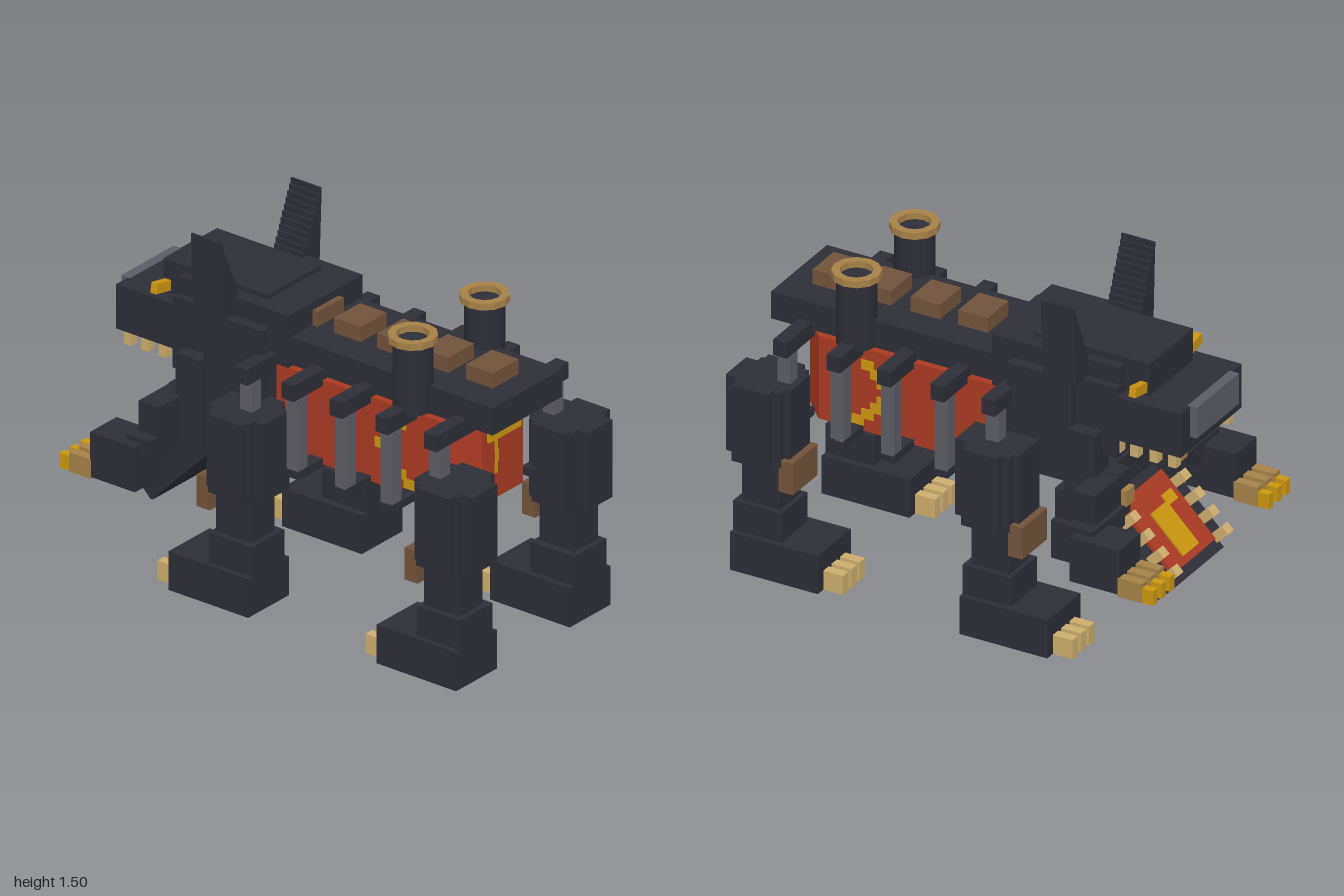
import * as THREE from 'three';

const mat = (name, color) => {
  const m = new THREE.MeshStandardMaterial({ color });
  m.name = name;
  return m;
};

export function createModel() {
  const root = new THREE.Group();
  root.name = 'mechanicalBeast';
  const dark = mat('charcoalArmour', 0x2d2e37);
  const grey = mat('greySteel', 0x5c5d64);
  const red = mat('moltenRed', 0xa83a22);
  const gold = mat('glowingGold', 0xca960f);
  const brown = mat('brownLeather', 0x70533b);
  const bone = mat('boneClaw', 0xcbad6d);
  const bronze = mat('bronze', 0xa58147);

  const add = (name, geo, m, parent = root) => {
    const mesh = new THREE.Mesh(geo, m);
    mesh.name = name;
    parent.add(mesh);
    return mesh;
  };
  // box given by its limits on each axis
  const box = (name, m, [x0, x1], [y0, y1], [z0, z1], parent = root) => {
    const mesh = add(name, new THREE.BoxGeometry(x1 - x0, y1 - y0, z1 - z0), m, parent);
    mesh.position.set((x0 + x1) / 2, (y0 + y1) / 2, (z0 + z1) / 2);
    return mesh;
  };
  // the same box on both sides
  const pair = (name, m, [x0, x1], y, z, parent = root) => {
    box(name + 'Left', m, [x0, x1], y, z, parent);
    box(name + 'Right', m, [-x1, -x0], y, z, parent);
  };

  // molten body with chamfered rear corners
  const plan = new THREE.Shape([
    [-0.235, 0.15], [0.235, 0.15], [0.235, -0.7], [0.13, -0.8], [-0.13, -0.8], [-0.235, -0.7],
  ].map(([x, y]) => new THREE.Vector2(x, y)));
  const bodyGeo = new THREE.ExtrudeGeometry(plan, { depth: 0.37, bevelEnabled: false });
  bodyGeo.rotateX(-Math.PI / 2);
  add('body', bodyGeo, red).position.y = 0.63;

  // rear plate and crack
  box('rearPlate', gold, [-0.1, 0.1], [0.895, 1], [0.8, 0.815]);
  const crack = [[-0.04, 0.9], [-0.045, 0.84], [-0.03, 0.79], [-0.055, 0.74], [-0.075, 0.69], [-0.09, 0.63]];
  for (let i = 0; i < crack.length - 1; i++) {
    const [xa, ya] = crack[i], [xb, yb] = crack[i + 1], c = (xa + xb) / 2;
    box('rearCrack', gold, [c - 0.01, c + 0.01], [yb, ya], [0.799, 0.804]);
  }
  // stepped glowing crack on each flank: z, y of each square
  const steps = [[0.475, 0.93], [0.435, 0.895], [0.405, 0.86], [0.375, 0.815], [0.405, 0.78],
    [0.435, 0.745], [0.475, 0.71], [0.52, 0.675], [0.575, 0.645]];
  for (const [z, y] of steps) pair('flankCrack', gold, [0.232, 0.239], [y - 0.022, y + 0.022], [z - 0.028, z + 0.028]);

  // spine with leather pads
  box('spine', dark, [-0.22, 0.22], [1.01, 1.13], [-0.2, 0.925]);
  for (const z of [-0.13, 0.085, 0.302, 0.525, 0.748])
    box('spinePad', brown, [-0.083, 0.083], [1.13, 1.195], [z - 0.067, z + 0.067]);

  // rib cage
  for (const z of [0.768, 0.525, 0.295, 0.052, -0.18]) {
    const zr = [z - 0.031, z + 0.031];
    box('ribBar', dark, [-0.42, 0.42], [0.975, 1.045], zr);
    pair('rib', grey, [0.33, 0.39], [0.65, 0.975], [z - 0.029, z + 0.029]);
    pair('ribFoot', dark, [0.2, 0.39], [0.62, 0.655], zr);
  }

  // exhaust stacks with bronze rims
  const lathe = (pts) => new THREE.LatheGeometry(pts.map(([r, y]) => new THREE.Vector2(r, y)), 12).toNonIndexed();
  const stackGeo = new THREE.CylinderGeometry(0.082, 0.082, 0.3, 12);
  const rimGeo = lathe([[0.067, 0], [0.101, 0], [0.101, 0.03], [0.067, 0.03], [0.067, 0]]);
  for (const g of [rimGeo]) g.computeVertexNormals();
  for (const s of [1, -1]) {
    add('exhaustStack', stackGeo, dark).position.set(s * 0.228, 1.165, 0.53);
    add('exhaustRim', rimGeo, bronze).position.set(s * 0.228, 1.313, 0.53);
  }

  // four legs; front pair is the rear pair moved forward
  for (const [label, dz] of [['rear', 0], ['front', -1.045]]) {
    const leg = new THREE.Group();
    leg.name = label + 'Legs';
    leg.position.z = dz;
    root.add(leg);
    pair('thighWide', dark, [0.22, 0.51], [0.505, 0.845], [0.77, 0.935], leg);
    pair('thighMiddle', dark, [0.25, 0.475], [0.507, 0.843], [0.735, 0.95], leg);
    pair('thighDeep', dark, [0.285, 0.445], [0.505, 0.845], [0.71, 1], leg);
    pair('kneePad', brown, [0.275, 0.47], [0.4, 0.54], [0.68, 0.745], leg);
    pair('shin', dark, [0.29, 0.44], [0.29, 0.51], [0.755, 0.93], leg);
    pair('ankle', dark, [0.26, 0.465], [0.16, 0.3], [0.735, 0.955], leg);
    pair('foot', dark, [0.23, 0.49], [0, 0.17], [0.555, 0.955], leg);
    for (const x of [0.295, 0.36, 0.425]) pair('claw', bone, [x - 0.021, x + 0.021], [0, 0.085], [0.465, 0.56], leg);
  }

  // neck and head
  const head = new THREE.Group();
  head.name = 'head';
  root.add(head);
  box('collar', dark, [-0.235, 0.235], [0.85, 1.228], [-0.4, -0.09], head);
  box('neck', dark, [-0.285, 0.285], [0.69, 1.15], [-0.48, -0.185], head);
  box('skull', dark, [-0.245, 0.245], [0.83, 1.145], [-0.665, -0.3], head);
  box('brow', dark, [-0.21, 0.21], [1.1, 1.22], [-0.66, -0.2], head);
  box('crown', dark, [-0.17, 0.17], [1.0, 1.248], [-0.77, -0.245], head);
  box('snout', dark, [-0.24, 0.24], [0.91, 1.105], [-0.952, -0.6], head);
  box('nosePlate', grey, [-0.165, 0.165], [0.97, 1.107], [-0.983, -0.94], head);
  for (const z of [-0.652, -0.732, -0.82, -0.905])
    pair('upperTooth', bone, [0.185, 0.225], [0.847, 0.915], [z - 0.018, z + 0.018], head);
  for (const s of [1, -1]) {
    const eye = box('eye', gold, [-0.047, 0.047], [-0.022, 0.022], [-0.015, 0.015], head);
    eye.position.set(s * 0.215, 1.15, -0.745);
    eye.rotation.z = s * 0.2;
  }
  // ears of stacked, narrowing slabs
  const n = 14, y0 = 1.145, h = 0.35 / n;
  for (let i = 0; i < n; i++) {
    const t = i / (n - 1);
    pair('earStep', dark, [0.175 + 0.136 * t, 0.306 + 0.014 * t], [y0 + i * h, y0 + (i + 1) * h], [-0.512, -0.362], head);
  }

  // open lower jaw, tilted down
  const jaw = new THREE.Group();
  jaw.name = 'lowerJaw';
  jaw.position.set(0, 0.547, -0.54);
  jaw.rotation.x = -Math.PI / 4;
  root.add(jaw);
  box('jawShell', dark, [-0.245, 0.245], [-0.07, 0.07], [-0.4, 0], jaw);
  box('jawTip', dark, [-0.2, 0.2], [-0.07, 0.065], [-0.436, -0.39], jaw);
  box('mouthFloor', red, [-0.165, 0.165], [0.07, 0.088], [-0.39, -0.04], jaw);
  box('tongue', gold, [-0.06, 0.06], [0.088, 0.097], [-0.36, -0.15], jaw);
  box('tongueSpark', gold, [-0.13, -0.06], [0.088, 0.095], [-0.17, -0.12], jaw);
  for (const z of [-0.385, -0.295, -0.205, -0.115])
    pair('lowerTooth', bone, [0.175, 0.22], [0.07, 0.143], [z - 0.021, z + 0.021], jaw);
  // jaw hinges
  box('throat', dark, [-0.2, 0.2], [0.545, 0.72], [-0.58, -0.4]);
  pair('hingePost', dark, [0.165, 0.25], [0.56, 0.76], [-0.68, -0.5]);
  pair('hingePad', bronze, [0.175, 0.24], [0.62, 0.69], [-0.705, -0.675]);

  // forward-reaching arms
  const arms = new THREE.Group();
  arms.name = 'arms';
  root.add(arms);
  pair('upperArm', dark, [0.2, 0.308], [0.54, 0.94], [-0.6, -0.47], arms);
  pair('elbow', dark, [0.24, 0.495], [0.54, 0.625], [-0.7, -0.578], arms);
  pair('elbowTop', dark, [0.24, 0.44], [0.62, 0.755], [-0.68, -0.578], arms);
  pair('hand', dark, [0.37, 0.54], [0.408, 0.604], [-0.846, -0.62], arms);
  for (const x of [0.388, 0.455, 0.521]) {
    pair('finger', bronze, [x - 0.021, x + 0.021], [0.4, 0.485], [-0.95, -0.84], arms);
    pair('fingertip', gold, [x - 0.017, x + 0.017], [0.4, 0.465], [-1, -0.948], arms);
  }
  return root;
}
